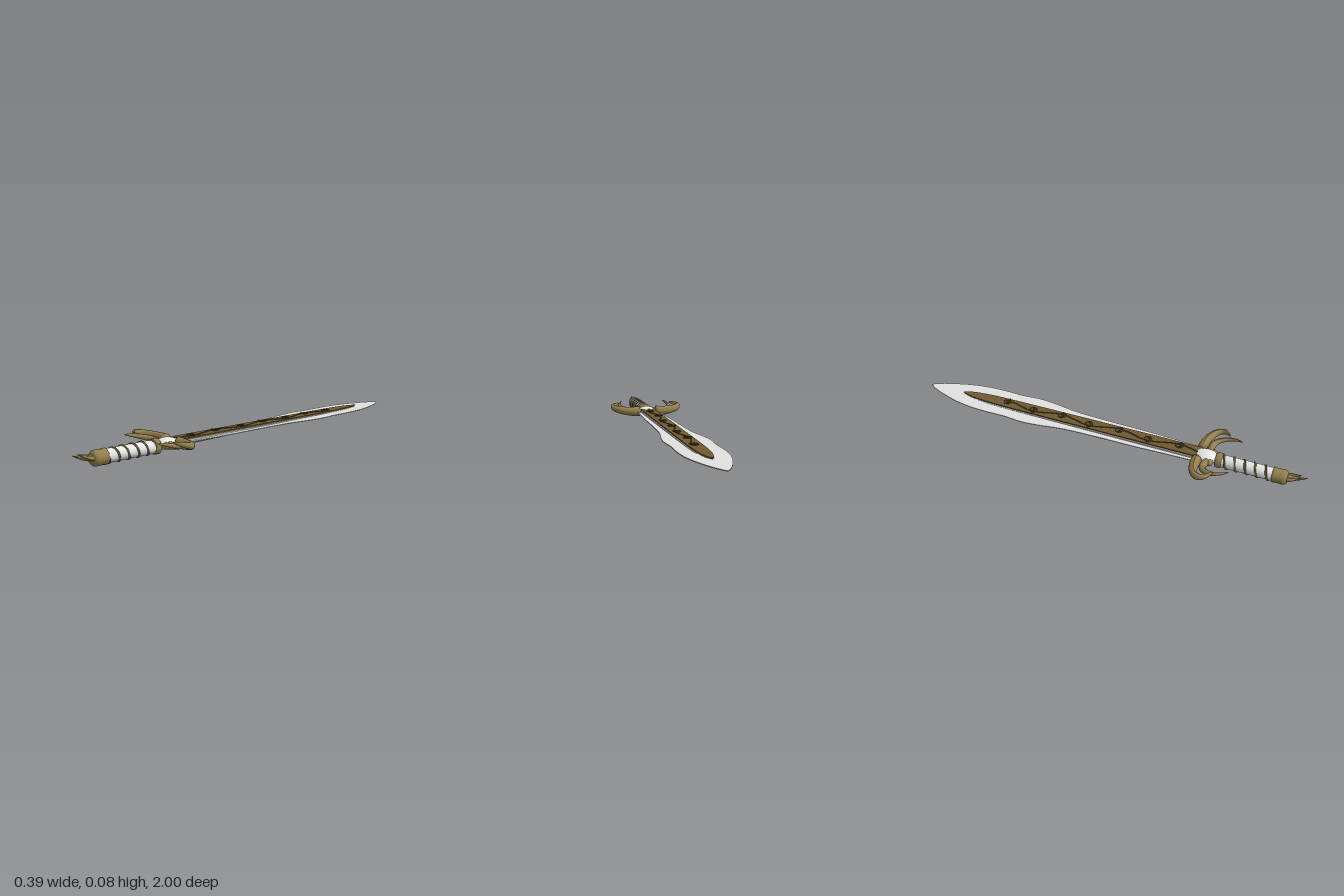
import * as THREE from 'three';

const MID = 0.04; // height of the sword's long axis

const mat = (name, color, side = THREE.FrontSide) => {
  const m = new THREE.MeshStandardMaterial({ color, side });
  m.name = name;
  return m;
};

const V = (x, y, z) => new THREE.Vector3(x, y, z);

// Flat plate from half-widths along z; top(z) and bottom(z) give its heights
function plate(rows, top, bottom) {
  const edge = new THREE.SplineCurve(rows.map(([z, w]) => new THREE.Vector2(w, -z))).getPoints(48);
  const mirrored = edge.slice(0, -1).reverse().map((p) => new THREE.Vector2(-p.x, p.y));
  const geo = new THREE.ExtrudeGeometry(new THREE.Shape([...edge, ...mirrored]), { depth: 1, bevelEnabled: false });
  geo.rotateX(-Math.PI / 2);
  const p = geo.attributes.position;
  for (let i = 0; i < p.count; i++) {
    p.setY(i, p.getY(i) > 0.5 ? top(p.getZ(i)) : bottom(p.getZ(i)));
  }
  geo.computeVertexNormals();
  return geo;
}

// Tapering horn along a curve, closed at the root and pointed at the end
function horn(points, radius, stretchY = 1, power = 1) {
  const curve = new THREE.CatmullRomCurve3(points);
  const seg = 28, sides = 12;
  const geo = new THREE.TubeGeometry(curve, seg, 1, sides);
  const p = geo.attributes.position, v = V(0, 0, 0);
  for (let i = 0; i < p.count; i++) {
    const ring = Math.floor(i / (sides + 1));
    const t = ring / seg;
    const c = curve.getPointAt(t);
    const r = ring === 0 ? 0.0001 : radius * Math.pow(1 - t, power) + 0.0004;
    v.fromBufferAttribute(p, i).sub(c).multiplyScalar(r);
    v.y *= stretchY;
    p.setXYZ(i, c.x + v.x, c.y + v.y, c.z + v.z);
  }
  geo.computeVertexNormals();
  return geo;
}

// Turned part along the z axis from [z, radius] pairs, z rising
function turned(profile, sides = 20) {
  const geo = new THREE.LatheGeometry(profile.map(([z, r]) => new THREE.Vector2(r, z)), sides);
  geo.rotateX(Math.PI / 2);
  geo.translate(0, MID - 0.002, 0);
  return geo;
}

export function createModel() {
  const group = new THREE.Group();
  group.name = 'sword';
  const gold = mat('old gold', 0x94804f, THREE.DoubleSide);
  const brown = mat('brown inlay', 0x6f5a31);
  const vineMat = mat('dark vine', 0x62502c);
  const steel = mat('blade steel', 0xe2e2e0);
  const ivory = mat('ivory', 0xeaeae7);
  const wrapMat = mat('grip wrap', 0x6b6042);

  const add = (name, geo, material) => {
    const m = new THREE.Mesh(geo, material);
    m.name = name;
    group.add(m);
    return m;
  };

  // Leaf-shaped blade with a slight waist
  const blade = [
    [0.5, 0.058], [0.35, 0.062], [0.2, 0.068], [0, 0.071], [-0.18, 0.079], [-0.3, 0.098],
    [-0.4, 0.108], [-0.5, 0.1], [-0.6, 0.102], [-0.7, 0.098], [-0.8, 0.081], [-0.9, 0.05],
    [-0.96, 0.025], [-1, 0],
  ];
  add('blade', plate(blade, () => MID + 0.004, () => MID), steel);

  // Raised inlay with a steel rim, thinning toward the tip
  const along = (z) => (0.5 - z) / 1.3;
  const topAt = (z) => 0.058 - 0.008 * along(z);
  const bottomAt = (z) => 0.029 + 0.007 * along(z);
  const inlay = [[0.5, 0.037], [0.2, 0.037], [-0.2, 0.036], [-0.55, 0.034], [-0.68, 0.028], [-0.76, 0.016], [-0.8, 0]];
  add('bladeInlay', plate(inlay, topAt, bottomAt), brown);
  add('inlayRim', plate(inlay.map(([z, w]) => [z, w * 1.17]),
    (z) => topAt(z) - 0.006, (z) => bottomAt(z) + 0.005), steel);

  // Vine winding up the inlay, with a curl at every bend
  const bend = (z) => Math.cos((z - 0.39) * Math.PI / 0.155);
  const stem = [];
  for (let i = 0; i <= 60; i++) {
    const z = 0.5 - i * 1.06 / 60;
    stem.push(V(0.016 * bend(z), topAt(z) + 0.001, z));
  }
  add('vineStem', new THREE.TubeGeometry(new THREE.CatmullRomCurve3(stem), 120, 0.003, 6), vineMat);
  for (let k = 0; k < 7; k++) {
    const z0 = 0.39 - k * 0.155, s = k % 2 ? -1 : 1;
    const curl = [];
    for (let i = 0; i <= 20; i++) {
      const a = i / 20 * Math.PI * 3, r = 0.023 - 0.016 * i / 20;
      curl.push(V(s * (0.006 + r * Math.cos(a)), topAt(z0) + 0.003, z0 + r * Math.sin(a)));
    }
    add('vineCurl', new THREE.TubeGeometry(new THREE.CatmullRomCurve3(curl), 40, 0.003, 6), vineMat);
  }

  // Rounded stone in the middle of the guard
  const stone = new THREE.SphereGeometry(1, 28, 18);
  stone.scale(0.047, 0.027, 0.056);
  stone.translate(0, 0.042, 0.527);
  add('guardStone', stone, ivory);

  // Bar joining the inner horns in front of the stone
  const bar = new THREE.CapsuleGeometry(0.016, 0.08, 6, 14);
  bar.rotateZ(Math.PI / 2);
  bar.translate(0, 0.04, 0.555);
  add('guardBar', bar, gold);

  // Curved horns of the guard, two on each side
  for (const s of [1, -1]) {
    const outer = [
      V(s * 0.038, 0.047, 0.495), V(s * 0.08, 0.047, 0.495), V(s * 0.135, 0.052, 0.505),
      V(s * 0.175, 0.06, 0.53), V(s * 0.184, 0.068, 0.56), V(s * 0.167, 0.075, 0.585), V(s * 0.143, 0.081, 0.6),
    ];
    add('outerHorn', horn(outer, 0.025, 1.12, 0.55), gold);
    const inner = [
      V(s * 0.03, 0.04, 0.542), V(s * 0.075, 0.042, 0.533), V(s * 0.112, 0.05, 0.545),
      V(s * 0.136, 0.061, 0.585), V(s * 0.135, 0.073, 0.63), V(s * 0.12, 0.082, 0.668),
    ];
    add('innerHorn', horn(inner, 0.018, 1, 0.6), gold);
  }

  // Grip with a spiral wrap
  add('grip', turned([[0.58, 0], [0.58, 0.031], [0.86, 0.031], [0.86, 0]]), ivory);
  const helix = [];
  for (let i = 0; i <= 100; i++) {
    const a = i / 100 * Math.PI * 10;
    helix.push(V(0.031 * Math.cos(a), MID - 0.002 + 0.031 * Math.sin(a), 0.6 + 0.245 * i / 100));
  }
  add('gripWrap', new THREE.TubeGeometry(new THREE.CatmullRomCurve3(helix), 200, 0.005, 6), wrapMat);

  // Collar and pommel
  add('collar', turned([[0.575, 0.026], [0.58, 0.036], [0.602, 0.036], [0.608, 0.029]]), gold);
  add('pommel', turned([
    [0.842, 0.029], [0.845, 0.036], [0.855, 0.037], [0.86, 0.034], [0.89, 0.036], [0.9, 0.035],
    [0.912, 0.026], [0.914, 0],
  ], 12), gold);

  // Claws at the end of the pommel
  add('pommelClaw', horn([V(0, 0.042, 0.9), V(0, 0.044, 0.935), V(0, 0.054, 0.97), V(0, 0.066, 1)], 0.015, 1, 0.8), gold);
  for (const s of [1, -1]) {
    add('pommelClaw', horn([V(s * 0.013, 0.04, 0.9), V(s * 0.019, 0.046, 0.925),
      V(s * 0.014, 0.056, 0.95), V(s * 0.008, 0.066, 0.975)], 0.011, 1, 0.8), gold);
  }
  return group;
}
